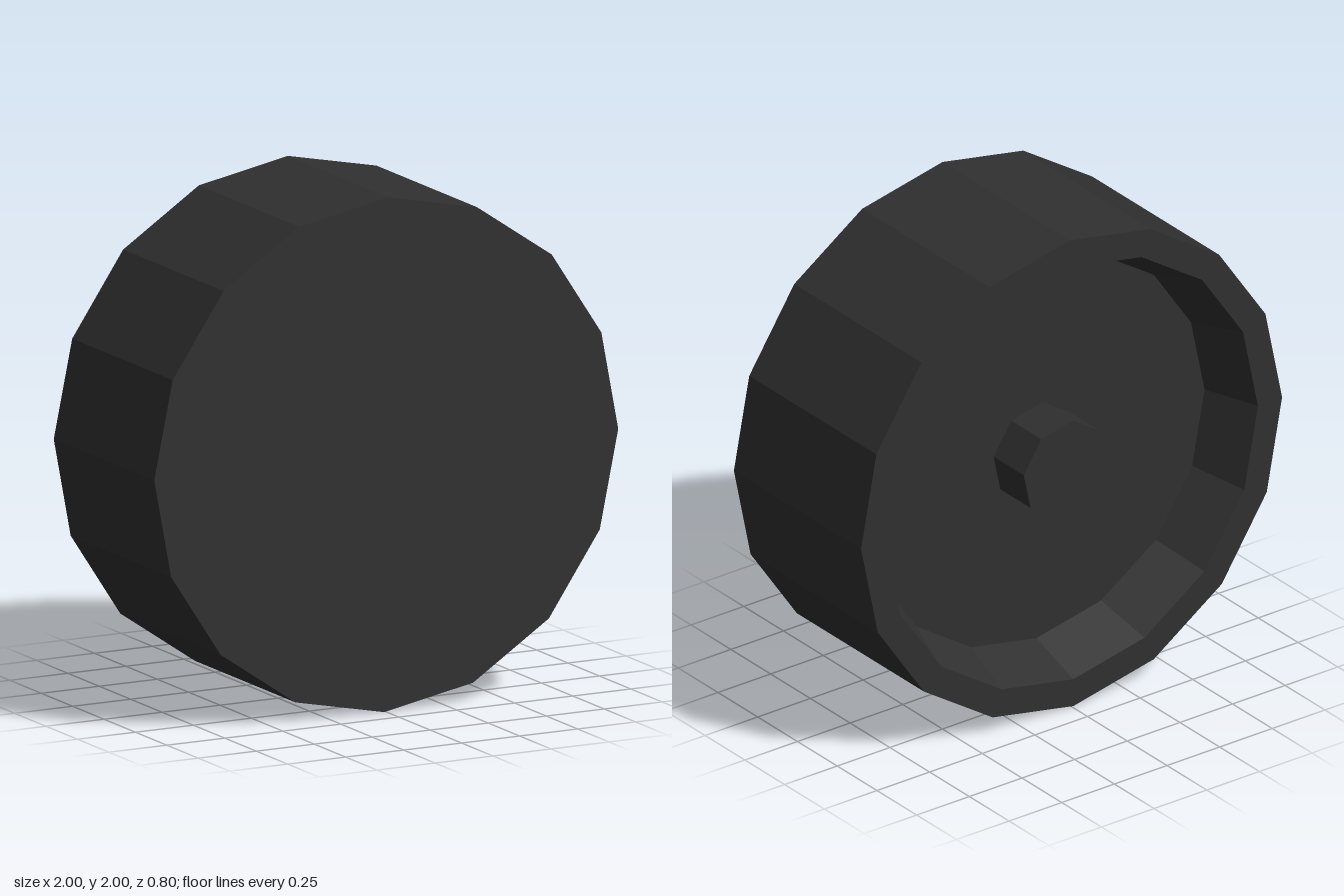
import * as THREE from 'three';

const rubber = new THREE.MeshStandardMaterial({ color: 0x303030 });
rubber.name = 'dark rubber';
rubber.flatShading = true;

// Faceted solid of revolution around the z axis; profile is [radius, z] from back to front
function turned(name, profile, sides, degrees) {
  const points = profile.map(([r, z]) => new THREE.Vector2(r, z));
  const geometry = new THREE.LatheGeometry(points, sides);
  geometry.rotateX(Math.PI / 2);
  geometry.rotateZ(THREE.MathUtils.degToRad(degrees));
  const mesh = new THREE.Mesh(geometry, rubber);
  mesh.name = name;
  mesh.position.y = 1;
  return mesh;
}

export function createModel() {
  const wheel = new THREE.Group();
  wheel.name = 'wheel';

  // Tyre: plain front disc and a tapered recess in the back
  wheel.add(turned('tyre', [
    [0, -0.17], [0.805, -0.17], [0.885, -0.4], [1, -0.4], [1, 0.4], [0, 0.4],
  ], 16, -0.5));

  // Octagonal hub standing on the recess floor
  wheel.add(turned('hub', [[0, -0.36], [0.2, -0.36], [0.2, -0.17]], 8, 10.5));

  return wheel;
}
